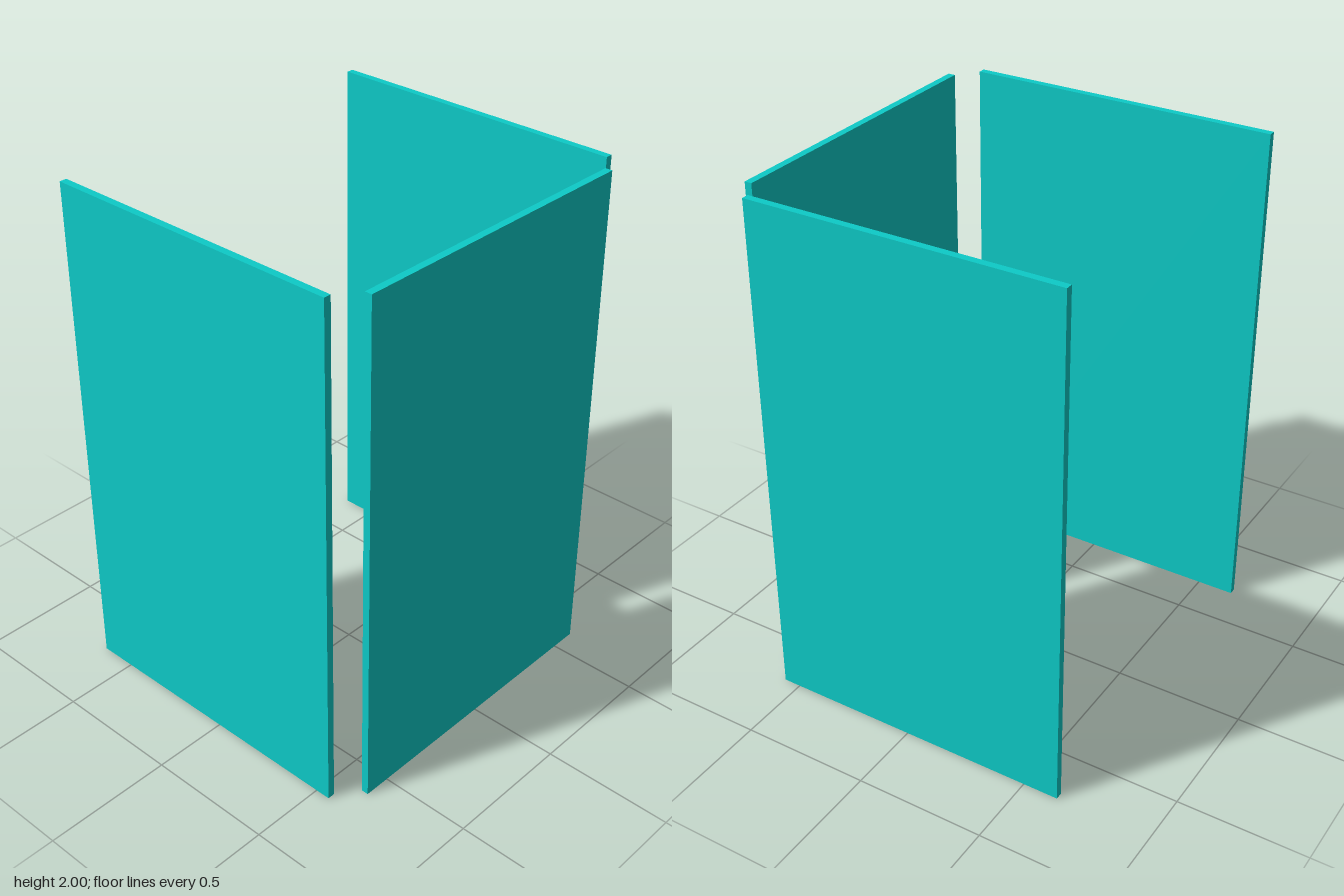
import * as THREE from 'three';

const HEIGHT = 2;
const WIDTH = 1.204;
const THICKNESS = 0.028;

export function createModel() {
  const group = new THREE.Group();
  group.name = 'panelSet';
  const material = new THREE.MeshStandardMaterial({ color: 0x0dcac7 });
  const geometry = new THREE.BoxGeometry(WIDTH, HEIGHT, THICKNESS);

  // Three identical upright boards; the side boards are turned a quarter
  // and sit slightly out of line with each other.
  const panels = [
    ['frontPanel', 0, 0.632, 0],
    ['leftPanel', 0.695, -0.034, Math.PI / 2],
    ['rightPanel', -0.697, -0.044, -Math.PI / 2],
  ];
  for (const [name, x, z, turn] of panels) {
    const panel = new THREE.Mesh(geometry, material);
    panel.name = name;
    panel.position.set(x, HEIGHT / 2, z);
    panel.rotation.y = turn;
    group.add(panel);
  }
  return group;
}
